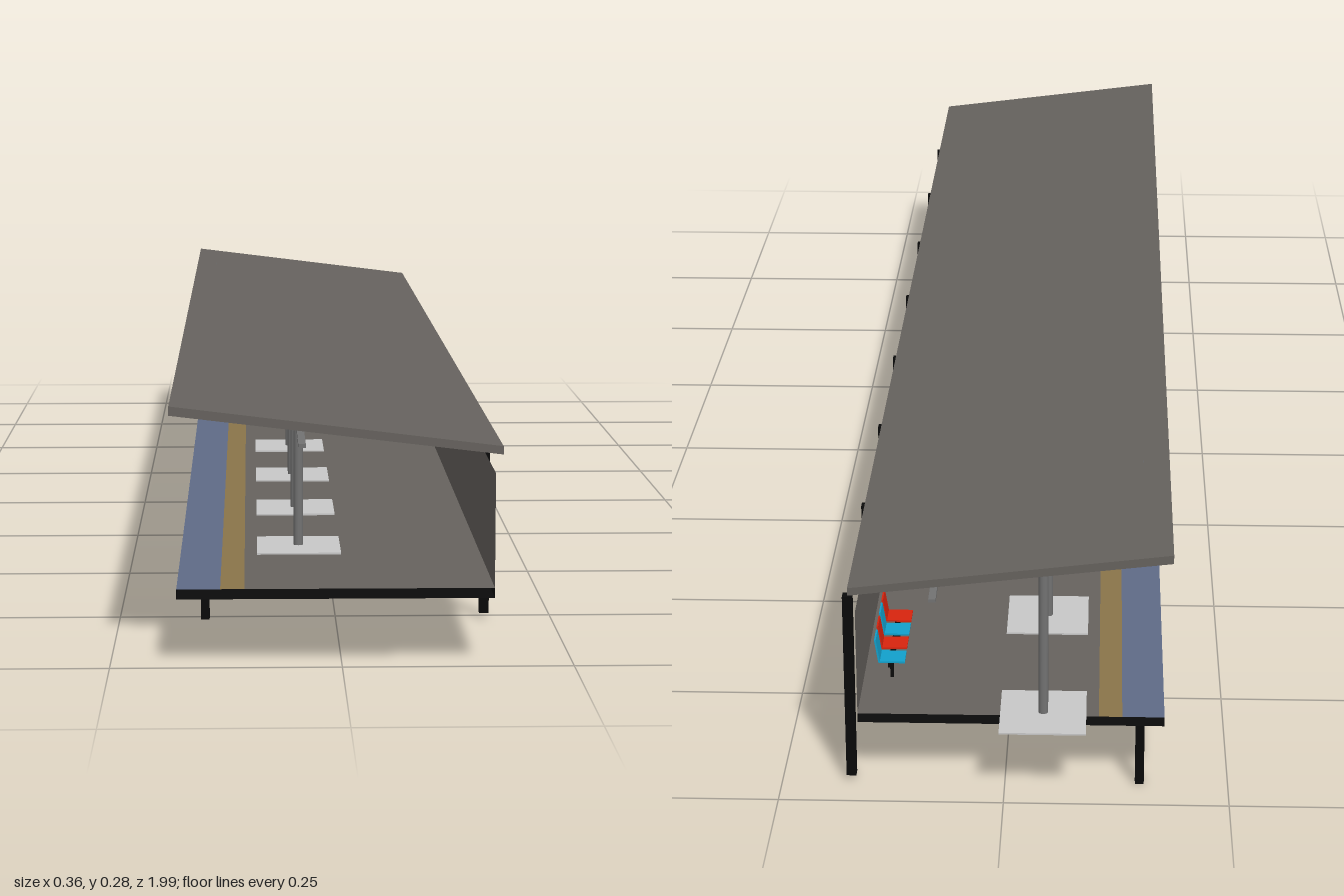
import * as THREE from 'three';

export function createModel() {
  const model = new THREE.Group();
  model.name = 'stationPlatform';

  const mat = (name, color, side = THREE.FrontSide) => {
    const m = new THREE.MeshStandardMaterial({ color, side });
    m.name = name;
    return m;
  };
  const grey = mat('warmGrey', 0x66625e, THREE.DoubleSide);
  const black = mat('black', 0x0a0a0a, THREE.DoubleSide);
  const steel = mat('steelGrey', 0x727272);
  const pale = mat('paleGrey', 0xc8c8c8);
  const slate = mat('slateBlue', 0x5f6b87, THREE.DoubleSide);
  const tan = mat('tan', 0x8a744a, THREE.DoubleSide);
  const red = mat('seatRed', 0xd8240e);
  const blue = mat('seatBlue', 0x12a0cc);

  const add = (name, geometry, material, x, y, z, parent = model) => {
    const mesh = new THREE.Mesh(geometry, material);
    mesh.name = name;
    mesh.position.set(x, y, z);
    parent.add(mesh);
    return mesh;
  };
  const box = (name, w, h, d, material, x, y, z, parent) =>
    add(name, new THREE.BoxGeometry(w, h, d), material, x, y, z, parent);

  const zBack = -0.955, zFront = 0.995;
  const length = zFront - zBack, zMid = (zFront + zBack) / 2;
  const floorY = 0.085, underY = 0.074;
  const edgeX = -0.178, wallX = 0.164;

  // Thin sheets running the full length of the platform
  const flat = (name, x0, x1, y, material, down = false) => {
    const g = new THREE.PlaneGeometry(x1 - x0, length).rotateX(down ? Math.PI / 2 : -Math.PI / 2);
    add(name, g, material, (x0 + x1) / 2, y, zMid);
  };
  const upright = (name, x, y0, y1, material, turn) => {
    const g = new THREE.PlaneGeometry(length, y1 - y0).rotateY(turn * Math.PI / 2);
    add(name, g, material, x, (y0 + y1) / 2, zMid);
  };

  // Deck: an open-ended slab with coloured edge strips
  flat('edgeStrip', edgeX, -0.131, floorY, slate);
  flat('warningStrip', -0.131, -0.105, floorY, tan);
  flat('floor', -0.105, wallX, floorY, grey);
  flat('deckUnderside', edgeX, wallX, underY, black, true);
  upright('deckFrontEdge', edgeX, underY, floorY, black, -1);
  upright('deckRearEdge', wallX, underY, floorY, black, 1);
  upright('rearWall', wallX, floorY, 0.21, grey, 1);

  // Sloping roof slab
  const profile = new THREE.Shape([
    [-0.185, 0.273], [0.172, 0.23], [0.172, 0.239], [-0.185, 0.283],
  ].map(([x, y]) => new THREE.Vector2(x, y)));
  add('roof', new THREE.ExtrudeGeometry(profile, { depth: length, bevelEnabled: false }),
    grey, 0, 0, zBack);

  // Regular bays: rear post, short front post, roof column on a pale pad
  for (let i = 0; i < 8; i++) {
    const z = -0.949 + i * 0.244;
    box('rearPost', 0.011, 0.222, 0.011, black, 0.1725, 0.117, z);
    box('frontPost', 0.01, 0.074, 0.011, black, -0.151, 0.037, z);
    add('column', new THREE.CylinderGeometry(0.0055, 0.0055, 0.177, 16), steel, -0.043, 0.1735, z);
    box('columnPad', 0.096, 0.002, 0.1, pale, -0.043, 0.086, z);
  }

  // Slim light rails below the roof
  box('lightRail', 0.008, 0.004, 1.93, steel, 0.077, 0.2395, -0.02);
  box('lightRail', 0.008, 0.004, 1.93, steel, -0.043, 0.24, 0.03);

  // Hanging information sign with dark cells on both faces
  const sign = new THREE.Group();
  sign.name = 'hangingSign';
  sign.position.set(-0.154, 0.238, -0.69);
  model.add(sign);
  box('signPanel', 0.018, 0.024, 0.008, pale, 0, 0, 0, sign);
  box('signRod', 0.001, 0.032, 0.001, steel, 0, 0.028, 0, sign);
  for (const s of [-1, 1])
    for (const x of [-0.004, 0.004])
      for (const y of [-0.006, 0, 0.006])
        box('signCell', 0.002, 0.003, 0.0006, black, x, y, s * 0.0042, sign);

  // Display hung beside the rear wall
  box('wallDisplay', 0.006, 0.034, 0.075, black, 0.159, 0.212, -0.092);

  // Bench with alternating seats
  const bench = new THREE.Group();
  bench.name = 'bench';
  bench.position.z = -0.815;
  model.add(bench);
  box('benchBar', 0.006, 0.004, 0.14, black, 0.132, 0.108, 0, bench);
  for (const z of [-0.05, 0.05])
    box('benchLeg', 0.004, 0.024, 0.004, black, 0.132, 0.096, z, bench);
  for (let i = 0; i < 4; i++) {
    const z = -0.0525 + i * 0.035;
    const colour = i % 2 ? red : blue;
    box('seatPan', 0.03, 0.002, 0.028, colour, 0.131, 0.111, z, bench);
    const back = box('seatBack', 0.002, 0.027, 0.028, colour, 0.1475, 0.125, z, bench);
    back.rotation.z = -0.16;
  }

  return model;
}
